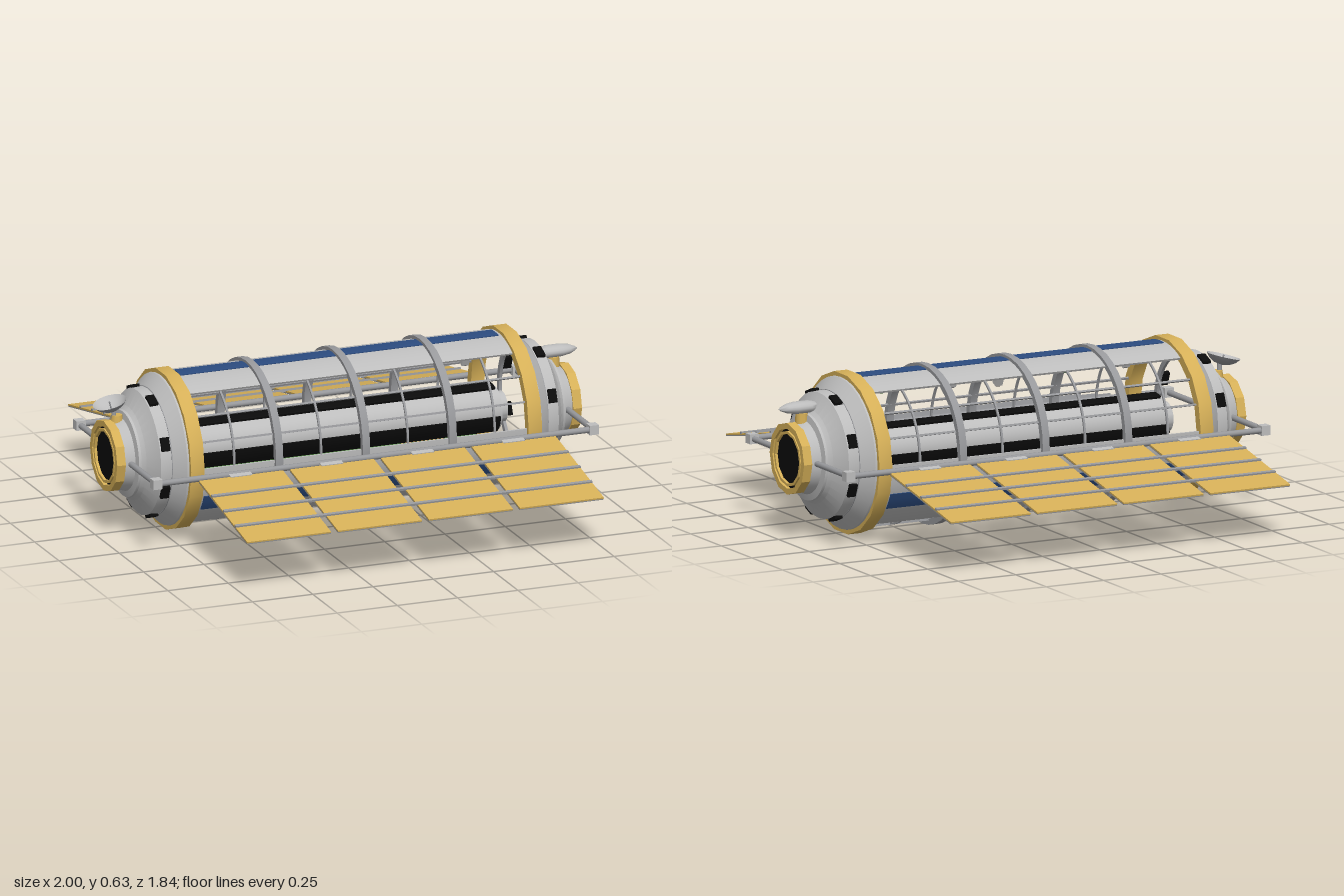
import * as THREE from 'three';
import { toCreasedNormals } from 'three/addons/utils/BufferGeometryUtils.js';

const mat = (name, color) => Object.assign(new THREE.MeshStandardMaterial({ color }), { name });
const hull = mat('hull grey', 0xbdbdbd), frame = mat('frame grey', 0x98999c), gold = mat('gold', 0xd6b058);
const blue = mat('radiator blue', 0x2c4c80), black = mat('black', 0x0b0b0b), dark = mat('dark grey', 0x525254);
const grass = mat('grass green', 0x5a9349), water = mat('water', 0x3f8f9c), soil = mat('field tan', 0xc79a4c);
const leaf = mat('tree green', 0x3a6c32);

const rad = Math.PI / 180, R = 0.3, AXIS = 0.316;

function add(parent, name, geo, material, x = 0, y = 0, z = 0) {
  const m = new THREE.Mesh(geo, material);
  m.name = name;
  m.position.set(x, y, z);
  parent.add(m);
  return m;
}

const box = (w, h, d) => new THREE.BoxGeometry(w, h, d);

// Curved plate round the x axis; angles in degrees, 0 = +z, 90 = up
function arc(r0, r1, a0, a1, length, step = 5) {
  const n = Math.max(1, Math.ceil((a1 - a0) / step)), s = new THREE.Shape();
  const at = (r, i) => {
    const a = (a0 + (a1 - a0) * i / n) * rad;
    return [-r * Math.cos(a), r * Math.sin(a)];
  };
  s.moveTo(...at(r0, 0));
  for (let i = 0; i <= n; i++) s.lineTo(...at(r1, i));
  for (let i = n; i > 0; i--) s.lineTo(...at(r0, i));
  const g = new THREE.ExtrudeGeometry(s, { depth: length, bevelEnabled: false });
  g.translate(0, 0, -length / 2).rotateY(Math.PI / 2);
  return toCreasedNormals(g, 0.3);
}

// Full ring round the x axis
function ring(r0, r1, length, sides) {
  const p = [[r0, -1], [r1, -1], [r1, 1], [r0, 1], [r0, -1]];
  return turned(p.map(([r, x]) => [r, x * length / 2]), sides);
}

// Lathe round the x axis from [radius, x] points
function turned(points, sides = 36, crease = 0.35) {
  const g = new THREE.LatheGeometry(points.map(p => new THREE.Vector2(...p)), sides);
  return toCreasedNormals(g.rotateZ(-Math.PI / 2), crease);
}

// Holder at an angle whose local up points outward, or inward
function polar(parent, x, deg, r, inward) {
  const g = new THREE.Group(), a = deg * rad, s = inward ? -1 : 1;
  g.position.set(x, r * Math.sin(a), r * Math.cos(a));
  g.rotation.x = Math.atan2(s * Math.cos(a), s * Math.sin(a));
  parent.add(g);
  return g;
}

// Landscape per hull sector: positions are [x, degrees from sector centre]
const sectors = [
  { c: -30, houses: [[-0.5, 0], [-0.5, -21], [-0.45, -18], [-0.145, -18], [-0.11, -20], [0.43, 0], [0.48, -18]],
    trees: [[-0.625, -8], [-0.23, -20], [0.3, -1], [0.6, -12], [-0.3, 15], [0.1, 18]],
    fields: [[-0.1, -24, 0.17, 9], [0.53, 4, 0.28, 10], [-0.56, 18, 0.18, 12], [0.2, 20, 0.16, 12]] },
  { c: 90, houses: [[-0.45, 24], [-0.43, 18], [0.1, 24], [0.13, -22], [0.3, 22], [0.49, -24], [0.52, 18]],
    trees: [[-0.6, -18], [-0.2, 20], [0.25, -18], [0.6, 20]],
    fields: [[-0.28, 4, 0.18, 12], [0.4, 20, 0.18, 12], [0.02, 18, 0.14, 10]] },
  { c: 210, houses: [[-0.465, 18], [-0.43, 17], [0.1, 0], [0.15, 0], [0.45, 18], [0.49, 18]],
    trees: [[-0.625, 18], [-0.16, 18], [0.6, 6], [-0.3, 10], [0.3, 14]],
    fields: [[0.09, 21, 0.16, 12], [-0.6, 2, 0.12, 9], [0.45, 4, 0.18, 10], [-0.25, 19, 0.14, 12]] },
];

function addSector(parent, { c, houses, trees, fields }) {
  const g = new THREE.Group();
  g.name = 'hullSector';
  parent.add(g);
  add(g, 'hullPlate', arc(0.291, R, c - 30, c + 30, 1.36), hull);
  add(g, 'radiatorStrip', arc(R, 0.303, c - 7, c + 7, 1.32), blue);
  add(g, 'land', arc(0.288, 0.291, c - 29, c + 29, 1.35), grass);
  add(g, 'river', arc(0.286, 0.288, c - 19, c - 4, 1.35), water);
  for (const [x, a, w, h] of fields)
    add(g, 'field', arc(0.2865, 0.288, c + a - h / 2, c + a + h / 2, w), soil, x);
  houses.forEach(([x, a], i) => {
    const h = polar(g, x, c + a, 0.288, true), tall = 0.02 + 0.01 * (i % 3);
    add(h, 'house', box(0.03, tall, 0.028), hull, 0, tall / 2);
    add(h, 'houseRoof', box(0.018, 0.006, 0.018), dark, 0, tall + 0.003);
  });
  for (const [x, a] of trees) {
    const t = polar(g, x, c + a, 0.288, true);
    add(t, 'treeTrunk', new THREE.CylinderGeometry(0.003, 0.004, 0.014, 5), soil, 0, 0.007);
    add(t, 'treeCrown', new THREE.IcosahedronGeometry(0.015, 0), leaf, 0, 0.022);
  }
}

// Open window bay with slim bars
function addWindow(parent, c) {
  for (const a of [-10, 10]) add(polar(parent, 0, c + a, 0.293), 'windowBar', box(1.36, 0.008, 0.008), frame);
  for (const x of [-0.54, -0.18, 0.18, 0.54]) add(parent, 'windowHoop', arc(0.289, 0.297, c - 30, c + 30, 0.008), frame, x);
}

// Stepped end cap with portholes and docking port, facing +x
function makeEnd() {
  const g = new THREE.Group();
  g.name = 'endCap';
  add(g, 'goldRim', ring(0.28, 0.316, 0.056, 18), gold, 0.7);
  add(g, 'cap', turned([[0.3, 0.72], [0.297, 0.735], [0.25, 0.78], [0.247, 0.825], [0.185, 0.86],
    [0.172, 0.875], [0.17, 0.885], [0.145, 0.89], [0.13, 0.935], [0.001, 0.936]]), hull);
  add(g, 'capCollar', ring(0.23, 0.252, 0.012, 36), frame, 0.775);
  for (let i = 0; i < 8; i++) add(polar(g, 0.803, 22.5 + i * 45, 0.249), 'porthole', box(0.034, 0.018, 0.054), black);
  add(g, 'portRing', ring(0.118, 0.141, 0.036, 12), gold, 0.946);
  add(g, 'portWell', ring(0.001, 0.12, 0.006, 12), black, 0.944);
  add(g, 'portInnerRing', ring(0.098, 0.109, 0.018, 12), gold, 0.954);
  add(g, 'portHatch', ring(0.001, 0.098, 0.008, 12), black, 0.948);
  return g;
}

// Outrigger beam and four tilted solar panels on the +z side
function makeWing() {
  const g = new THREE.Group(), tilt = new THREE.Group();
  g.name = 'solarWing';
  add(g, 'outriggerBeam', new THREE.CylinderGeometry(0.012, 0.012, 1.81, 10).rotateZ(Math.PI / 2), frame, 0, 0, 0.4);
  for (const s of [-1, 1]) {
    add(g, 'beamJoint', box(0.038, 0.038, 0.038), hull, s * 0.905, 0, 0.395);
    add(g, 'crossBeam', new THREE.CylinderGeometry(0.012, 0.012, 0.3, 10).rotateX(Math.PI / 2), frame, s * 0.905, 0, 0.25);
  }
  tilt.position.z = 0.4;
  tilt.rotation.x = 11.2 * rad;
  g.add(tilt);
  for (let i = 0; i < 4; i++) {
    const x = (i - 1.5) * 0.377;
    add(tilt, 'panelBracket', box(0.09, 0.016, 0.035), hull, x, 0, 0.014);
    add(tilt, 'solarPanel', box(0.348, 0.006, 0.505), gold, x, 0.002, 0.277);
    add(tilt, 'panelBack', box(0.348, 0.004, 0.505), frame, x, -0.003, 0.277);
  }
  for (const z of [0.157, 0.28, 0.403]) add(tilt, 'panelSpar', box(1.48, 0.009, 0.014), frame, 0, 0.007, z);
  return g;
}

export function createModel() {
  const model = new THREE.Group(), body = new THREE.Group();
  model.name = 'spaceHabitat';
  body.name = 'habitat';
  body.position.y = AXIS;
  model.add(body);

  // Drum: land sectors, window bays and ribs
  for (const s of sectors) {
    addSector(body, s);
    addWindow(body, s.c + 60);
  }
  for (const x of [-0.36, 0, 0.36]) add(body, 'rib', ring(0.29, 0.314, 0.03, 36), frame, x);

  // Central spindle with three raised lamp strips
  add(body, 'spindle', turned([[0.001, -0.69], [0.06, -0.69], [0.06, -0.66], [0.09, -0.655],
    [0.09, 0.655], [0.06, 0.66], [0.06, 0.69], [0.001, 0.69]]), hull);
  for (const { c } of sectors) add(body, 'lampStrip', arc(0.088, 0.099, c - 24, c + 24, 1.29), black);

  // Ends and solar wings, each mirrored by a half turn
  for (const turn of [0, Math.PI]) {
    const end = makeEnd(), wing = makeWing();
    end.rotation.y = wing.rotation.y = turn;
    body.add(end, wing);
  }

  // Dish antenna at the right end
  const dish = new THREE.Group();
  dish.name = 'dishAntenna';
  dish.position.set(-0.93, 0.178, 0);
  dish.rotation.z = 15 * rad;
  body.add(dish);
  const bowl = [[0.001, 0], [0.03, 0.006], [0.052, 0.019], [0.067, 0.036]].map(p => new THREE.Vector2(...p));
  add(dish, 'dishBowl', new THREE.LatheGeometry(bowl, 20), frame);
  const inside = bowl.map(p => new THREE.Vector2(p.x, p.y + 0.002)).reverse();
  add(dish, 'dishInside', new THREE.LatheGeometry(inside, 20), hull);
  add(dish, 'dishFeed', new THREE.CylinderGeometry(0.003, 0.003, 0.04, 6), frame, 0, 0.02);
  add(body, 'dishMast', new THREE.CylinderGeometry(0.009, 0.012, 0.06, 8), frame, -0.922, 0.155);
  add(body, 'dishBase', new THREE.CylinderGeometry(0.022, 0.026, 0.03, 10), gold, -0.91, 0.145);

  // Docked shuttle at the left end
  const pod = add(body, 'shuttle', turned([[0.001, 0.84], [0.026, 0.845], [0.035, 0.87], [0.035, 0.93],
    [0.027, 0.965], [0.012, 0.99], [0.001, 1]], 16, 0.8), hull, 0, 0.197);
  pod.scale.y = 0.68;
  add(body, 'shuttleCradle', new THREE.CylinderGeometry(0.024, 0.026, 0.04, 10), gold, 0.9, 0.155);
  return model;
}
